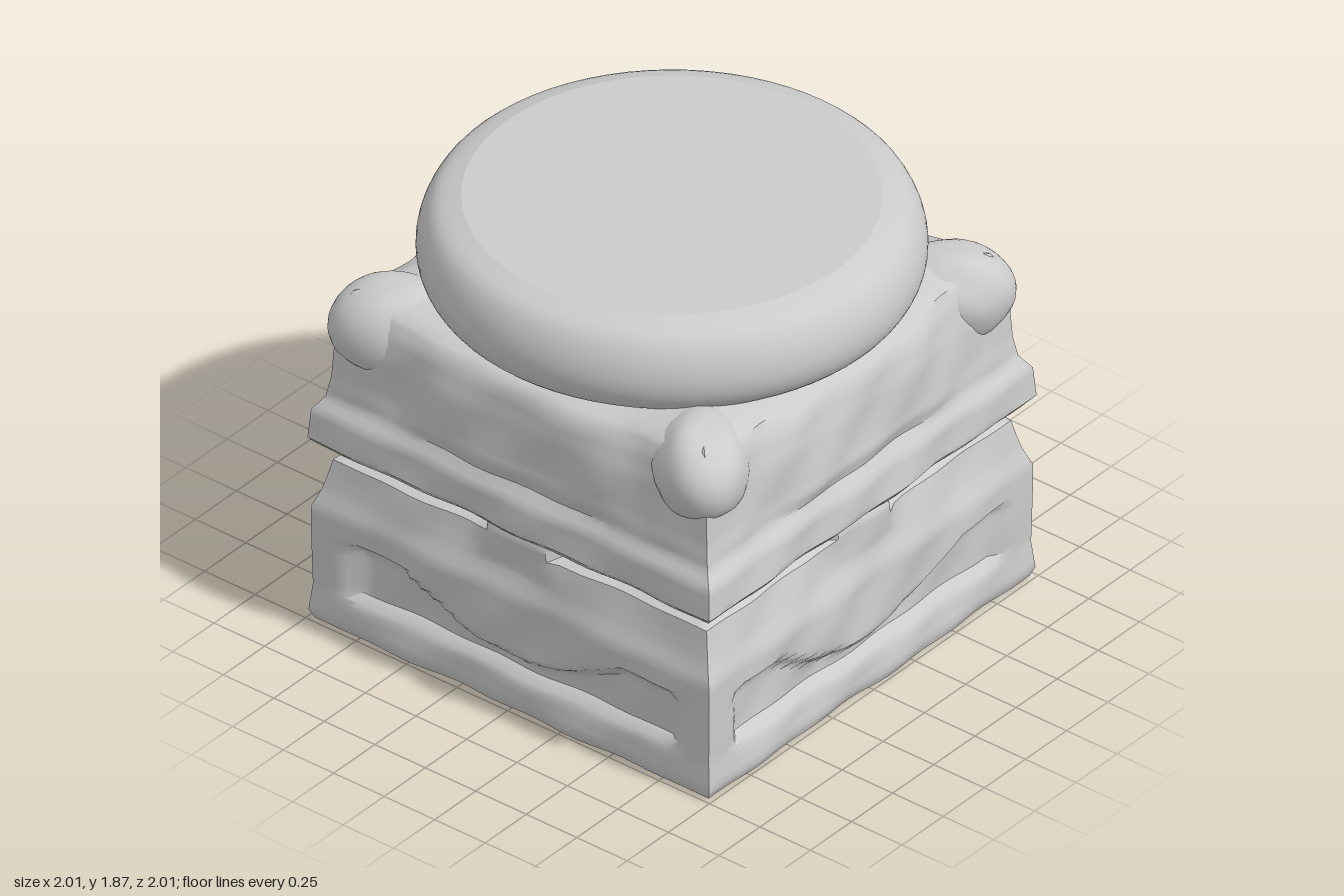
import * as THREE from 'three';
import { toCreasedNormals } from 'three/addons/utils/BufferGeometryUtils.js';

const stone = new THREE.MeshStandardMaterial({ color: 0xcccccc });
const smooth = THREE.MathUtils.smoothstep;

// Half-width of the square plinth at each height: [y, half-width]
const profile = [
  [0, 0.975], [0.04, 0.992], [0.16, 0.98], [0.4, 0.985], [0.52, 0.985], [0.6, 0.955],
  [0.66, 0.94], [0.73, 0.925], [0.75, 0.88], [0.78, 0.88], [0.81, 0.97], [0.84, 0.995],
  [0.97, 0.985], [1.03, 0.945], [1.12, 0.93], [1.3, 0.92], [1.4, 0.9], [1.46, 0.87], [1.49, 0.76],
];

// Distance of a face from the axis, u runs -1..1 across the face
function faceDepth(u, y, w, side) {
  let d = w;
  const inner = 1 - u ** 4;
  // Sunken panel below a hanging curved apron
  const apron = Math.min(0.41, 0.24 + 0.17 * (u / 0.55) ** 2);
  const panel = smooth(y, 0.15, 0.19) * (1 - smooth(y, apron - 0.03, apron + 0.02))
    * (1 - smooth(Math.abs(u), 0.78, 0.86));
  d -= 0.05 * panel;
  // Tab bridging the groove
  const tab = (1 - smooth(Math.abs(u), 0.16, 0.24)) * smooth(y, 0.56, 0.64) * (1 - smooth(y, 0.77, 0.82));
  d += tab * Math.max(0, 0.95 - d);
  // Fuller middle of the upper block, hollow towards the corners
  const upper = smooth(y, 1.02, 1.1) * (1 - smooth(y, 1.44, 1.48));
  d += upper * (0.035 * (1 - u * u) - 0.02 * Math.exp(-(((Math.abs(u) - 0.62) / 0.13) ** 2)));
  // Worn surface
  d += inner * 0.006 * (Math.sin(7 * u + 9 * y + 2 * side) + Math.sin(15 * u - 17 * y + side));
  return d;
}

function plinthGeometry() {
  const n = 36, count = n * 4, rows = [], pos = [], idx = [];
  // Subdivide the profile into closely spaced rows
  for (let i = 0; i < profile.length - 1; i++) {
    const [y0, w0] = profile[i], [y1, w1] = profile[i + 1];
    const steps = Math.ceil((y1 - y0) / 0.03);
    for (let s = 0; s < steps; s++) rows.push([y0 + (y1 - y0) * s / steps, w0 + (w1 - w0) * s / steps]);
  }
  rows.push(profile[profile.length - 1]);
  for (const [y, w] of rows) {
    for (let side = 0; side < 4; side++) {
      const c = Math.round(Math.cos(side * Math.PI / 2)), s = Math.round(Math.sin(side * Math.PI / 2));
      for (let i = 0; i < n; i++) {
        const u = -1 + 2 * i / n, d = faceDepth(u, y, w, side), x = u * w;
        pos.push(x * c + d * s, y + 0.05 * u ** 4 * smooth(y, 1.25, 1.46), -x * s + d * c);
      }
    }
  }
  for (let j = 0; j < rows.length - 1; j++) {
    for (let i = 0; i < count; i++) {
      const a = j * count + i, b = j * count + (i + 1) % count;
      idx.push(a, b, b + count, a, b + count, a + count);
    }
  }
  // Bottom and top caps
  const bottom = pos.length / 3, top = (rows.length - 1) * count;
  pos.push(0, 0, 0, 0, 1.49, 0);
  for (let i = 0; i < count; i++) {
    const k = (i + 1) % count;
    idx.push(bottom, k, i, bottom + 1, top + i, top + k);
  }
  const geo = new THREE.BufferGeometry();
  geo.setAttribute('position', new THREE.Float32BufferAttribute(pos, 3));
  geo.setIndex(idx);
  return toCreasedNormals(geo, 0.75);
}

// Corner spur: a bulb tapering inwards to the cushion, long axis on z
function spurGeometry() {
  const geo = new THREE.SphereGeometry(1, 28, 20);
  const p = geo.attributes.position;
  for (let i = 0; i < p.count; i++) {
    const x = p.getX(i), y = p.getY(i), z = p.getZ(i);
    const lump = 1 + 0.05 * Math.sin(5 * x + 1) * Math.sin(4 * y + 3 * z);
    const flare = 1 + 0.3 * Math.max(0, -z);
    p.setXYZ(i, x * 0.19 * flare * lump, y * 0.2 * lump, z * 0.26);
  }
  geo.computeVertexNormals();
  return geo;
}

export function createModel() {
  const group = new THREE.Group();
  const add = (name, geo) => {
    const mesh = new THREE.Mesh(geo, stone);
    mesh.name = name;
    group.add(mesh);
    return mesh;
  };

  add('squarePlinth', plinthGeometry());

  // Round cushion moulding with a flat top
  const curve = new THREE.SplineCurve([
    [0.78, 1.46], [0.9, 1.49], [0.965, 1.56], [0.985, 1.65], [0.965, 1.75], [0.91, 1.83], [0.81, 1.87],
  ].map(([x, y]) => new THREE.Vector2(x, y)));
  add('cushionMoulding', new THREE.LatheGeometry(curve.getPoints(24), 72));
  const lid = add('cushionTop', new THREE.CircleGeometry(0.81, 72));
  lid.rotation.x = -Math.PI / 2;
  lid.position.y = 1.87;

  // Spurs on the four corners
  const spur = spurGeometry();
  for (let i = 0; i < 4; i++) {
    const a = Math.PI / 4 + i * Math.PI / 2;
    const mesh = add('cornerSpur', spur);
    mesh.position.set(Math.sin(a) * 1.07, 1.35, Math.cos(a) * 1.07);
    mesh.rotation.y = a;
  }
  return group;
}
